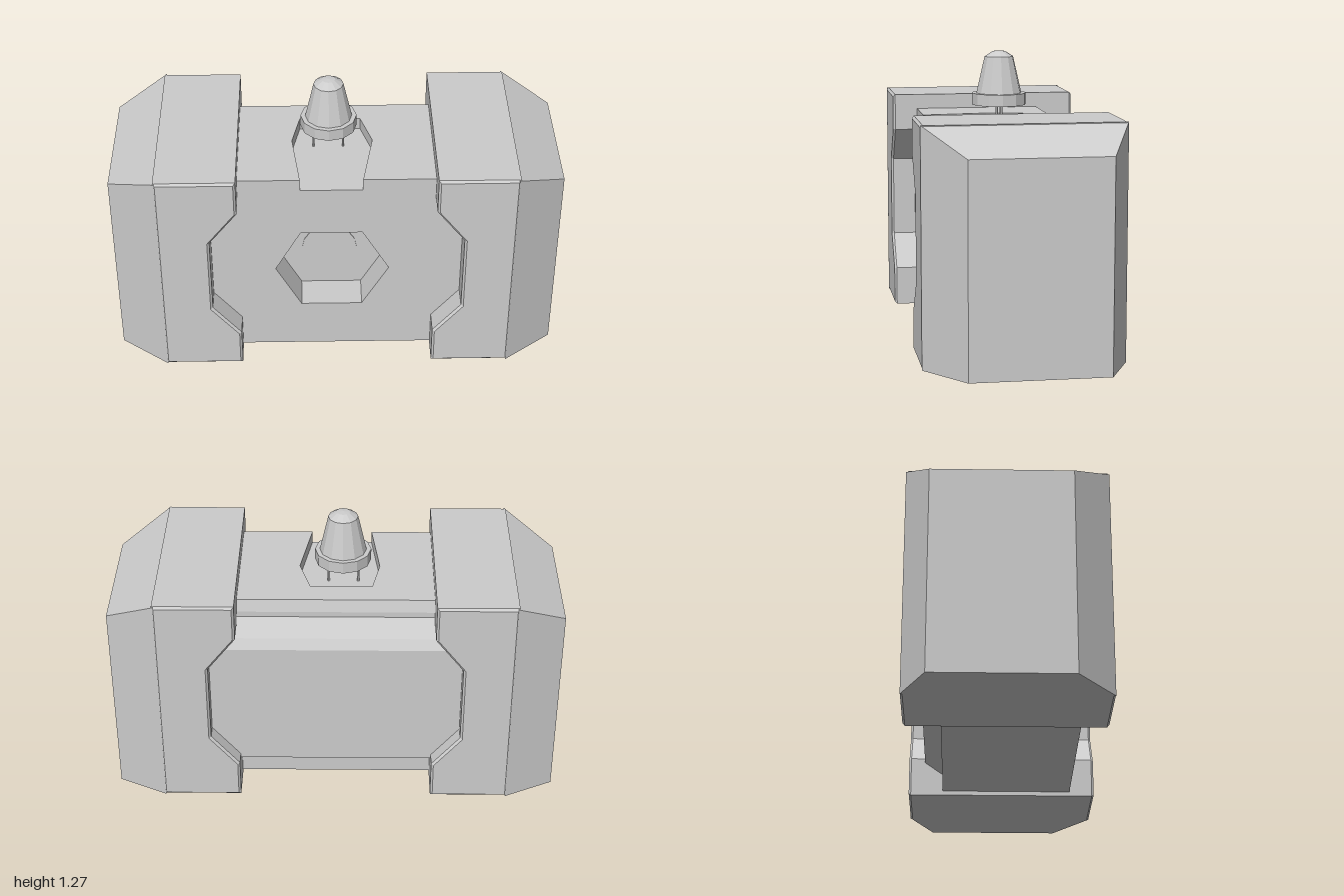
import * as THREE from 'three';

const material = new THREE.MeshStandardMaterial({ color: 0xcccccc, flatShading: true });

function part(name, geometry, parent) {
  const mesh = new THREE.Mesh(geometry, material);
  mesh.name = name;
  parent.add(mesh);
  return mesh;
}

const outline = (points) => new THREE.Shape(points.map(([x, y]) => new THREE.Vector2(x, y)));
const prism = (shape, depth) =>
  new THREE.ExtrudeGeometry(shape, { depth, bevelEnabled: false, curveSegments: 6 });

// End block: notched inner half plus a tapered outer half
function endBlock(side) {
  const block = new THREE.Group();
  block.name = side > 0 ? 'leftEndBlock' : 'rightEndBlock';

  const bevel = 0.01;
  const profile = [
    [0.435, 0], [0.788, 0], [0.788, 1.028], [0.435, 1.028],
    [0.435, 0.86], [0.56, 0.70], [0.56, 0.33], [0.435, 0.18],
  ].map(([x, y]) => [side * x, y]);
  const inner = new THREE.ExtrudeGeometry(outline(profile), {
    depth: 0.87 - 2 * bevel, bevelThickness: bevel, bevelSize: bevel,
    bevelOffset: -bevel, bevelSegments: 1,
  });
  inner.translate(0, 0, -0.435 + bevel);
  part('notchedInnerBlock', inner, block);

  // The outer face is lower and narrower than the inner one
  const outer = new THREE.BoxGeometry(0.22, 1, 1);
  const p = outer.attributes.position;
  for (let i = 0; i < p.count; i++) {
    const isOuter = p.getX(i) * side > 0;
    const top = isOuter ? 0.915 : 1.028;
    const front = isOuter ? 0.27 : 0.435;
    const back = isOuter ? -0.33 : -0.435;
    p.setXYZ(i, side * (isOuter ? 1 : 0.78),
      p.getY(i) > 0 ? top : 0, p.getZ(i) > 0 ? front : back);
  }
  outer.computeVertexNormals();
  part('taperedOuterBlock', outer, block);
  return block;
}

// Middle body running between the end blocks
function middleBody() {
  const body = new THREE.Group();
  body.name = 'middleBody';
  const half = 0.57;
  const floorY = 0.905;

  // Rear half, with a raised back panel; profile points are (-z, y)
  const rear = prism(outline([
    [-0.16, 0.02], [0.275, 0.02], [0.275, 0.10], [0.36, 0.16],
    [0.36, 0.76], [0.335, 0.805], [0.275, 0.88], [0.275, floorY], [-0.16, floorY],
  ]), 2 * half);
  rear.rotateY(Math.PI / 2).translate(-half, 0, 0);
  part('rearBody', rear, body);

  // Front plate with a hexagonal recess
  const plate = outline([[-half, 0.02], [half, 0.02], [half, floorY], [-half, floorY]]);
  plate.holes.push(new THREE.Path([
    [-0.275, 0.465], [-0.16, 0.67], [0.115, 0.67],
    [0.235, 0.465], [0.115, 0.257], [-0.16, 0.257],
  ].map(([x, y]) => new THREE.Vector2(x, y))));
  part('frontPlate', prism(plate, 0.16).translate(0, 0, 0.16), body);

  // Round disc on the recess floor
  const disc = new THREE.CylinderGeometry(0.125, 0.125, 0.004, 16);
  disc.rotateX(Math.PI / 2).translate(-0.03, 0.46, 0.162);
  part('recessDisc', disc, body);

  // Top slab cut by a pocket open to the front; points are (x, -z)
  const w = 0.44;
  const slab = prism(outline([
    [-w, -0.32], [-0.16, -0.32], [-0.195, -0.02], [-0.16, 0.15], [0.115, 0.15],
    [0.165, -0.02], [0.115, -0.32], [w, -0.32], [w, 0.275], [-w, 0.275],
  ]), 0.055);
  slab.rotateX(-Math.PI / 2).translate(0, floorY, 0);
  const p = slab.attributes.position;
  for (let i = 0; i < p.count; i++) {
    if (p.getY(i) > 0.95 && p.getZ(i) < -0.27) p.setZ(i, -0.26);
  }
  slab.computeVertexNormals();
  part('topSlab', slab, body);
  return body;
}

// Small lamp standing on two pins over the pocket
function lamp() {
  const group = new THREE.Group();
  group.name = 'lamp';
  group.position.set(-0.03, 0, -0.015);

  const profile = [
    [0, 1.02], [0.125, 1.02], [0.125, 1.073], [0.104, 1.073],
    [0.066, 1.24], [0.03, 1.263], [0, 1.266],
  ].map(([r, y]) => new THREE.Vector2(r, y));
  part('lampBulb', new THREE.LatheGeometry(profile, 12), group);

  for (const x of [-0.068, 0.065]) {
    const pin = part('lampPin', new THREE.CylinderGeometry(0.006, 0.006, 0.13, 6), group);
    pin.position.set(x, 0.96, 0);
  }
  return group;
}

export function createModel() {
  const model = new THREE.Group();
  model.name = 'model';
  model.add(endBlock(1), endBlock(-1), middleBody(), lamp());
  return model;
}
